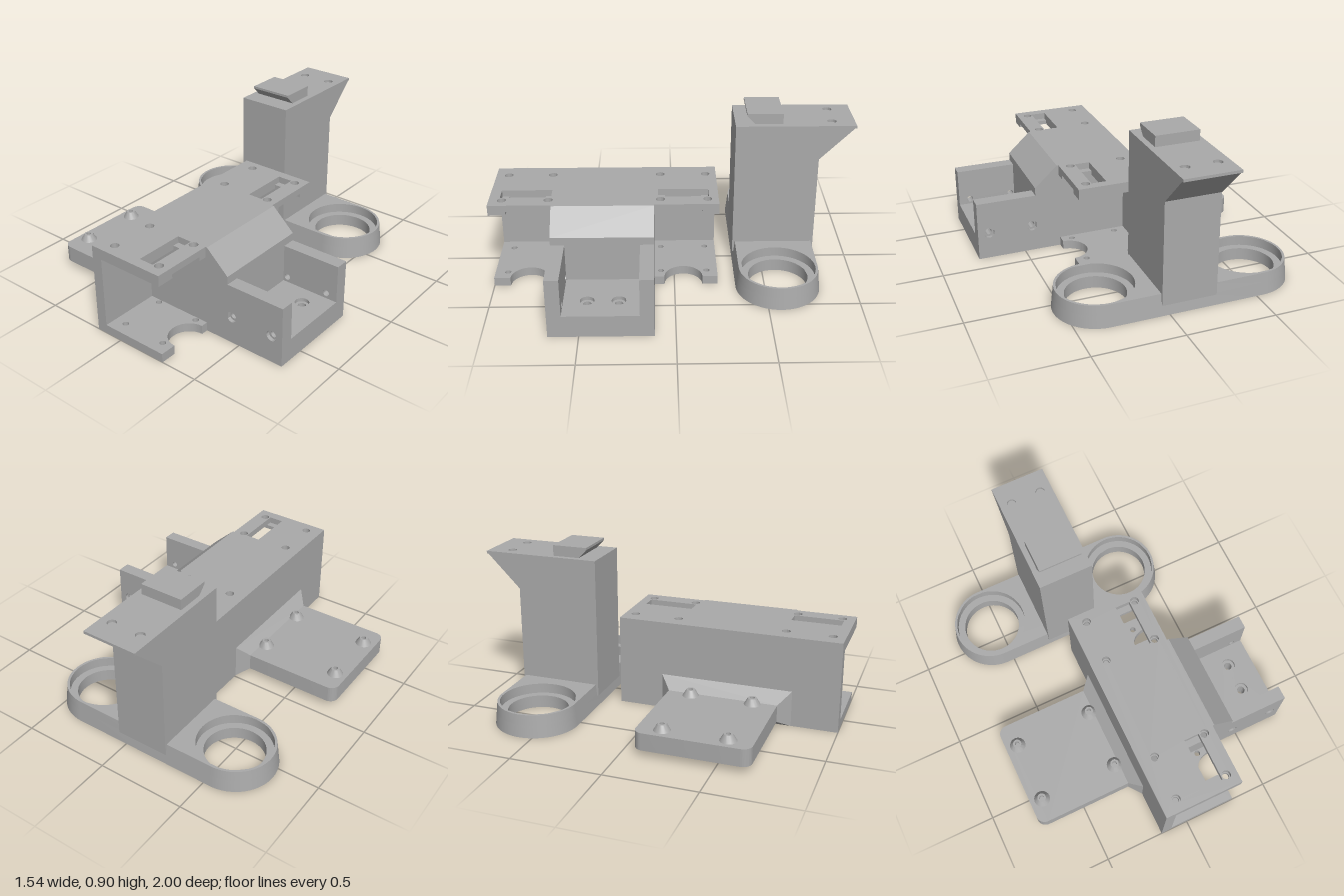
import * as THREE from 'three';
import { toCreasedNormals } from 'three/addons/utils/BufferGeometryUtils.js';

const grey = new THREE.MeshStandardMaterial({ color: 0xaaaaaa, side: THREE.DoubleSide });
grey.name = 'printedGrey';

function add(parent, name, geo) {
  const mesh = new THREE.Mesh(toCreasedNormals(geo, 0.5), grey);
  mesh.name = name;
  parent.add(mesh);
  return mesh;
}
function box(parent, name, x0, x1, y0, y1, z0, z1) {
  const g = new THREE.BoxGeometry(x1 - x0, y1 - y0, z1 - z0);
  g.translate((x0 + x1) / 2, (y0 + y1) / 2, (z0 + z1) / 2);
  return add(parent, name, g);
}
const poly = (pts) => new THREE.Shape(pts.map((p) => new THREE.Vector2(p[0], p[1])));
// Plan shapes use (x, -z), so z grows towards the front
const planRect = (x0, x1, z0, z1) => poly([[x0, -z1], [x1, -z1], [x1, -z0], [x0, -z0]]);
const disc = (x, y, r) => new THREE.Path().absarc(x, y, r, 0, Math.PI * 2, false);
function drill(shape, list, r) {
  for (const [x, z] of list) shape.holes.push(disc(x, -z, r));
  return shape;
}
function slab(shape, y0, y1) {
  const g = new THREE.ExtrudeGeometry(shape, { depth: y1 - y0, bevelEnabled: false, curveSegments: 24 });
  g.rotateX(-Math.PI / 2);
  g.translate(0, y0, 0);
  return g;
}
// Front profile (x, y) pulled along z
function alongZ(shape, z0, z1) {
  const g = new THREE.ExtrudeGeometry(shape, { depth: z1 - z0, bevelEnabled: false, curveSegments: 16 });
  g.translate(0, 0, z0);
  return g;
}
// Side profile (z, y) pulled along x
function alongX(pts, x0, x1) {
  const g = new THREE.ExtrudeGeometry(poly(pts.map(([z, y]) => [-z, y])), { depth: x1 - x0, bevelEnabled: false });
  g.rotateY(Math.PI / 2);
  g.translate(x0, 0, 0);
  return g;
}

function buildHousing() {
  const g = new THREE.Group();
  g.name = 'housing';
  const bays = [0.805, -0.05];
  const holeZ = [-0.18, 0.075, 0.68, 0.93];
  const floorScrews = [[0.63, 0.295], [0.63, 0.46]];

  // Cross-shaped base plate with a round bite in each bay
  const base = new THREE.Shape();
  base.moveTo(-0.16, -1);
  base.lineTo(0.29, -1);
  base.absarc(0.29, -bays[0], 0.105, -Math.PI / 2, Math.PI / 2, true);
  base.lineTo(0.29, -0.66);
  base.lineTo(0.77, -0.66);
  base.lineTo(0.77, -0.11);
  base.lineTo(0.29, -0.11);
  base.absarc(0.29, -bays[1], 0.105, -Math.PI / 2, Math.PI / 2, true);
  base.lineTo(0.29, 0.24);
  base.lineTo(-0.16, 0.24);
  base.closePath();
  base.holes.push(planRect(0.24, 0.585, 0.24, 0.5));
  drill(base, holeZ.flatMap((z) => [[-0.03, z], [0.23, z]]), 0.017);
  drill(base, floorScrews, 0.022);
  add(g, 'basePlate', slab(base, 0, 0.05));

  // Back wall of the open bays
  box(g, 'backWall', -0.16, -0.10, 0.05, 0.445, -0.24, 1);

  // Roof in two layers: notches below, longer slots above
  const lower = new THREE.Shape();
  lower.moveTo(-0.16, -1);
  lower.lineTo(0.29, -1);
  for (const c of bays) {
    lower.lineTo(0.29, -c - 0.1);
    lower.lineTo(0.115, -c - 0.1);
    lower.lineTo(0.115, -c + 0.1);
    lower.lineTo(0.29, -c + 0.1);
  }
  lower.lineTo(0.29, 0.24);
  lower.lineTo(-0.16, 0.24);
  lower.closePath();
  const upper = planRect(-0.16, 0.29, -0.24, 1);
  for (const c of bays) upper.holes.push(planRect(0.115, 0.2, c - 0.138, c + 0.138));
  const roofHoles = holeZ.flatMap((z) => [[-0.07, z], [0.23, z]]);
  drill(lower, roofHoles, 0.018);
  drill(upper, roofHoles, 0.024);
  add(g, 'roofLower', slab(lower, 0.445, 0.468));
  add(g, 'roofUpper', slab(upper, 0.468, 0.505));

  // Middle block with a sloped shoulder
  add(g, 'middleBlock', alongZ(poly([[-0.12, 0.05], [0.43, 0.05], [0.43, 0.385], [0.3, 0.505],
    [0.28, 0.505], [0.28, 0.46], [-0.12, 0.46]]), 0.11, 0.66));

  // Open tray: floor, and side walls with countersunk holes
  add(g, 'trayFloor', slab(drill(planRect(0.42, 0.77, 0.11, 0.66), floorScrews, 0.022), 0.05, 0.105));
  add(g, 'trayFloorTop', slab(drill(planRect(0.42, 0.77, 0.11, 0.66), floorScrews, 0.038), 0.105, 0.125));
  const wall = (r) => {
    const s = poly([[0.40, 0.05], [0.77, 0.05], [0.77, 0.34], [0.40, 0.34]]);
    s.holes.push(disc(0.455, 0.155, r), disc(0.705, 0.155, r));
    return s;
  };
  add(g, 'trayFrontWall', alongZ(wall(0.018), 0.585, 0.64));
  add(g, 'trayFrontWallFace', alongZ(wall(0.03), 0.64, 0.66));
  add(g, 'trayBackWall', alongZ(wall(0.018), 0.13, 0.185));
  add(g, 'trayBackWallFace', alongZ(wall(0.03), 0.11, 0.13));
  return g;
}

function buildSidePlate() {
  const g = new THREE.Group();
  g.name = 'sidePlate';
  // Plate with two rounded corners
  const s = new THREE.Shape();
  s.moveTo(-0.22, -0.07);
  s.lineTo(-0.72, -0.07);
  s.absarc(-0.72, -0.12, 0.05, Math.PI / 2, Math.PI, false);
  s.lineTo(-0.77, -0.63);
  s.absarc(-0.72, -0.63, 0.05, Math.PI, Math.PI * 1.5, false);
  s.lineTo(-0.22, -0.68);
  s.closePath();
  add(g, 'plate', slab(s, 0.04, 0.135));

  // Flared joint widening towards the housing
  const flare = new THREE.BoxGeometry(1, 1, 1);
  const p = flare.attributes.position;
  for (let i = 0; i < p.count; i++) {
    const wide = p.getX(i) > 0;
    p.setXYZ(i, wide ? -0.16 : -0.22,
      p.getY(i) > 0 ? (wide ? 0.2 : 0.135) : (wide ? 0 : 0.04),
      p.getZ(i) > 0 ? (wide ? 0.745 : 0.68) : (wide ? 0.01 : 0.07));
  }
  add(g, 'flaredJoint', flare);

  // Hollow tapered standoffs above and below
  const standoff = (x, y, z, down) => {
    const pts = [[0.045, 0], [0.024, 0.037], [0.013, 0.037], [0.013, 0.001], [0, 0.001]];
    const geo = new THREE.LatheGeometry(pts.map((q) => new THREE.Vector2(...q)), 24);
    if (down) geo.rotateX(Math.PI);
    geo.translate(x, y, z);
    add(g, down ? 'lowerStandoff' : 'upperStandoff', geo);
  };
  for (const x of [-0.7, -0.245]) for (const z of [0.205, 0.55]) standoff(x, 0.135, z, false);
  for (const x of [-0.595, -0.415]) for (const z of [0.235, 0.515]) standoff(x, 0.04, z, true);
  return g;
}

function buildTower() {
  const g = new THREE.Group();
  g.name = 'tower';
  const xa = -0.54, xb = 0.32, zc = -0.57, R = 0.232;
  // Stadium foot with stepped round openings, tapered towards the top
  const stadium = (r) => {
    const s = new THREE.Shape();
    s.moveTo(xa, -zc - R);
    s.lineTo(xb, -zc - R);
    s.absarc(xb, -zc, R, -Math.PI / 2, Math.PI / 2, false);
    s.lineTo(xa, -zc + R);
    s.absarc(xa, -zc, R, Math.PI / 2, Math.PI * 1.5, false);
    return drill(s, [[xa, zc], [xb, zc]], r);
  };
  const taper = (geo) => {
    const p = geo.attributes.position;
    for (let i = 0; i < p.count; i++) {
      const x = p.getX(i), z = p.getZ(i);
      const ax = Math.min(xb, Math.max(xa, x));
      if (Math.hypot(x - ax, z - zc) < 0.215) continue;
      const k = 1 - 0.06 * p.getY(i) / 0.125;
      p.setX(i, ax + (x - ax) * k);
      p.setZ(i, zc + (z - zc) * k);
    }
    return geo;
  };
  const screws = [-0.24, 0.02].flatMap((x) => [[x, -0.46], [x, -0.68]]);
  add(g, 'footLower', taper(slab(drill(stadium(0.164), screws, 0.018), 0, 0.07)));
  add(g, 'footUpper', taper(slab(stadium(0.205), 0.07, 0.125)));

  // Column with an overhanging rear wedge
  add(g, 'column', alongX([[-0.337, 0.06], [-0.337, 0.83], [-0.985, 0.83], [-0.8, 0.645], [-0.8, 0.06]], -0.262, 0.045));
  add(g, 'columnTop', slab(drill(planRect(-0.262, 0.045, -0.995, -0.337), [[-0.195, -0.868], [-0.023, -0.868]], 0.025), 0.83, 0.845));

  // Undercut shoe on top
  add(g, 'mountingShoe', alongX([[-0.445, 0.845], [-0.4, 0.892], [-0.4, 0.905], [-0.597, 0.905], [-0.597, 0.845]], -0.232, 0.012));
  return g;
}

export function createModel() {
  const model = new THREE.Group();
  model.name = 'mountAssembly';
  model.add(buildHousing(), buildSidePlate(), buildTower());
  return model;
}
